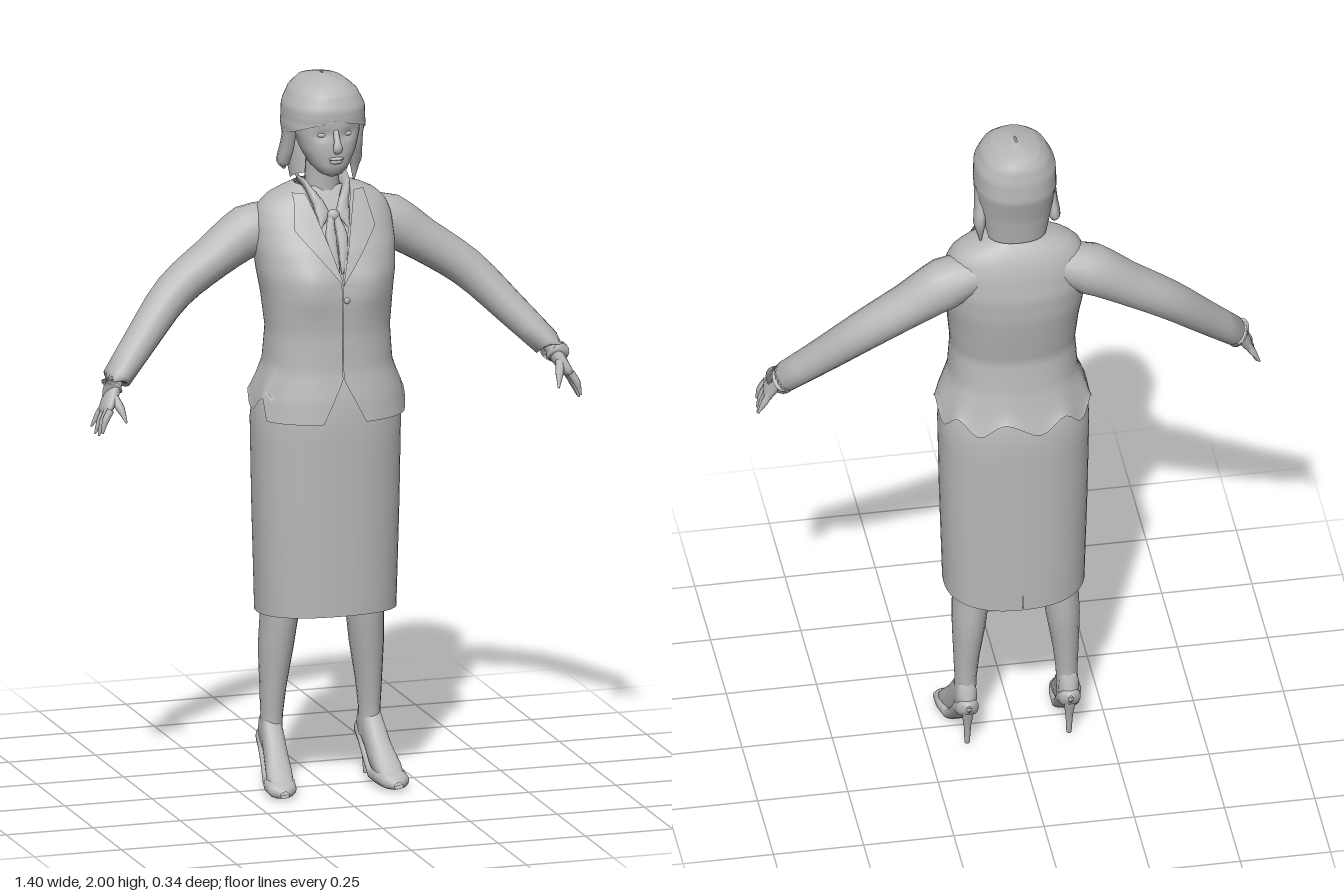
import * as THREE from 'three';

const grey = new THREE.MeshStandardMaterial({ color: 0xb8b8b8, side: THREE.DoubleSide });
grey.name = 'plain grey';

// Smooth surface from f(u, v) -> [x, y, z]; u wraps around when closed
function surface(name, nu, nv, closed, f) {
  const pos = [], idx = [], cols = closed ? nu : nu + 1;
  for (let j = 0; j <= nv; j++)
    for (let i = 0; i < cols; i++) pos.push(...f(i / nu, j / nv));
  for (let j = 0; j < nv; j++)
    for (let i = 0; i < nu; i++) {
      const a = j * cols + i, b = j * cols + (i + 1) % cols;
      idx.push(a, b, b + cols, a, b + cols, a + cols);
    }
  const g = new THREE.BufferGeometry();
  g.setAttribute('position', new THREE.Float32BufferAttribute(pos, 3));
  g.setIndex(idx);
  g.computeVertexNormals();
  const m = new THREE.Mesh(g, grey);
  m.name = name;
  return m;
}

// Linear interpolation in a table whose first column is the key
function at(table, k) {
  let i = 0;
  while (i < table.length - 2 && k > table[i + 1][0]) i++;
  const a = table[i], b = table[i + 1];
  const t = THREE.MathUtils.clamp((k - a[0]) / (b[0] - a[0]), 0, 1);
  return a.map((v, n) => v + (b[n] - v) * t);
}

// Point on a body shell of rows [y, halfWidth, zFront, zBack]; angle 0 is the front
const P = 0.86;
const pw = (v) => Math.sign(v) * Math.pow(Math.abs(v), P);
function shell(table, y, a, off = 0) {
  const [, rx, zf, zb] = at(table, y);
  return [(rx + off) * pw(Math.sin(a)), y, (zf + zb) / 2 + ((zf - zb) / 2 + off) * pw(Math.cos(a))];
}
const angleOf = (x, rx) => Math.asin(Math.pow(Math.min(x / rx, 1), 1 / P));

// Tapering limb through points [x, y, z, radiusA, radiusB]
function limb(name, pts, sides = 14) {
  const curve = new THREE.CatmullRomCurve3(pts.map((p) => new THREE.Vector3(p[0], p[1], p[2])));
  const n = pts.length - 1, keys = pts.map((p, i) => [i / n, p[3], p[4] ?? p[3]]);
  return surface(name, sides, n * 3, true, (u, v) => {
    const c = curve.getPoint(v), t = curve.getTangent(v);
    const a = new THREE.Vector3().crossVectors(t, new THREE.Vector3(0, 0, 1)).normalize();
    const b = new THREE.Vector3().crossVectors(t, a);
    const [, ra, rb] = at(keys, v), w = u * Math.PI * 2;
    return c.addScaledVector(a, ra * Math.cos(w)).addScaledVector(b, rb * Math.sin(w)).toArray();
  });
}

function blob(name, x, y, z, sx, sy, sz) {
  const m = new THREE.Mesh(new THREE.SphereGeometry(1, 14, 10), grey);
  m.name = name;
  m.position.set(x, y, z);
  m.scale.set(sx, sy, sz);
  return m;
}

const jacketRows = [
  [1.06, 0.212, 0.17, -0.168], [1.12, 0.2, 0.163, -0.153], [1.2, 0.175, 0.148, -0.137],
  [1.3, 0.168, 0.142, -0.126], [1.4, 0.178, 0.144, -0.145], [1.46, 0.188, 0.136, -0.155],
  [1.53, 0.194, 0.108, -0.158], [1.6, 0.19, 0.068, -0.147], [1.64, 0.175, 0.045, -0.135],
  [1.67, 0.14, 0.025, -0.12], [1.695, 0.075, 0.01, -0.1]];
const skirtRows = [
  [0.5, 0.194, 0.147, -0.165], [0.8, 0.203, 0.148, -0.165], [1.06, 0.208, 0.148, -0.165],
  [1.13, 0.195, 0.14, -0.15], [1.22, 0.16, 0.12, -0.12]];
const faceRows = [
  [1.728, 0.008, 0.055, 0.03], [1.738, 0.032, 0.075, 0], [1.76, 0.053, 0.086, -0.04],
  [1.8, 0.074, 0.09, -0.07], [1.85, 0.09, 0.089, -0.1], [1.9, 0.094, 0.088, -0.11],
  [1.96, 0.07, 0.06, -0.1]];
const hairRows = [
  [1.7, 0.085, 0.03, -0.117], [1.78, 0.1, 0.06, -0.132], [1.86, 0.113, 0.092, -0.155],
  [1.92, 0.11, 0.092, -0.153], [1.96, 0.09, 0.075, -0.145], [1.985, 0.06, 0.045, -0.13],
  [2.0, 0.003, -0.03, -0.06]];

// Half width of the neckline V and of the cutaway below the waist
const neckline = (y) => Math.max(0, (y - 1.45) / 0.245 * 0.066);
const opening = (y) => Math.max(0.001, neckline(y), (1.18 - y) * 0.5);

function buildClothes(body) {
  body.add(surface('skirt', 56, 16, false, (u, v) => {
    const y = 0.5 + v * 0.72, slit = Math.max(0, 0.56 - y) * 0.06;
    const a = Math.PI + slit + u * (Math.PI * 2 - slit * 2);
    const p = shell(skirtRows, y, a);
    p[1] += 0.01 * Math.cos(a) * (1 - v) ** 12;
    return p;
  }));
  body.add(surface('jacket', 64, 42, false, (u, v) => {
    const y = 1.06 + v * 0.635, gap = angleOf(opening(y), at(jacketRows, y)[1]);
    const a = gap + u * (Math.PI * 2 - gap * 2);
    const p = shell(jacketRows, y, a, 0.003);
    // bust
    const d = ((Math.abs(p[0]) - 0.085) / 0.06) ** 2 + ((y - 1.44) / 0.08) ** 2;
    if (Math.cos(a) > 0) p[2] += 0.014 * Math.exp(-d);
    // uneven hem around the sides and back
    if (Math.cos(a) < 0.4) p[1] += (0.04 + 0.022 * Math.sin(a * 9)) * (1 - v) ** 8;
    return p;
  }));
  body.add(surface('shirt', 32, 16, true, (u, v) =>
    shell(jacketRows, 1.4 + v * 0.29, u * Math.PI * 2, -0.014)));
  for (const s of [1, -1]) {
    body.add(surface('lapel', 8, 16, false, (u, v) => {
      const y = 1.44 + v * 0.24, rx = at(jacketRows, y)[1], x0 = neckline(y);
      const w = v < 0.62 ? v / 0.62 * 0.07 : 0.07 - (v - 0.62) * 0.11;
      const p = shell(jacketRows, y, angleOf(x0 + u * w, rx), 0.016);
      return [s * p[0], p[1], p[2]];
    }));
    // shirt collar and scarf
    body.add(limb('shirtCollar', [[s * 0.06, 1.7, -0.06, 0.006, 0.02], [s * 0.055, 1.69, 0, 0.008, 0.022],
      [s * 0.03, 1.63, 0.055, 0.02, 0.008], [s * 0.04, 1.59, 0.075, 0.004]], 8));
    body.add(limb('scarfTail', [[s * 0.008, 1.615, 0.065, 0.01], [s * 0.016, 1.57, 0.09, 0.016, 0.009],
      [s * 0.012, 1.51, 0.115, 0.012, 0.008], [s * 0.004, 1.47, 0.13, 0.002]], 8));
  }
  body.add(blob('scarfKnot', 0, 1.62, 0.062, 0.018, 0.018, 0.014));
  body.add(blob('jacketButton', 0.012, 1.4, 0.148, 0.009, 0.009, 0.005));
}

function buildHead(body) {
  const head = new THREE.Group();
  head.name = 'head';
  body.add(head);
  head.add(limb('neck', [[0, 1.62, -0.045, 0.058, 0.052], [0, 1.7, -0.04, 0.048], [0, 1.8, -0.03, 0.046]]));
  head.add(surface('face', 32, 24, true, (u, v) => {
    const a = u * Math.PI * 2, p = shell(faceRows, 1.728 + v * 0.232, a);
    // eye sockets
    const d = ((Math.abs(p[0]) - 0.036) / 0.02) ** 2 + ((p[1] - 1.852) / 0.014) ** 2;
    if (Math.cos(a) > 0) p[2] -= 0.01 * Math.exp(-d);
    return p;
  }));
  head.add(limb('nose', [[0, 1.865, 0.084, 0.007], [0, 1.835, 0.098, 0.01], [0, 1.815, 0.104, 0.015, 0.011],
    [0, 1.803, 0.088, 0.005]], 10));
  head.add(blob('upperLip', 0, 1.786, 0.089, 0.022, 0.005, 0.008));
  head.add(blob('lowerLip', 0, 1.777, 0.087, 0.018, 0.006, 0.008));
  // hair cap with a fringe, open around the face
  const gaps = [[1.7, 1.95], [1.8, 1.7], [1.85, 1.3], [1.875, 0.6], [1.89, 0]];
  head.add(surface('hair', 48, 36, false, (u, v) => {
    const y = 1.7 + v * 0.3, gap = at(gaps, y)[1];
    return shell(hairRows, y, gap + u * (Math.PI * 2 - gap * 2));
  }));
  for (const s of [1, -1]) {
    const low = s > 0 ? 1.685 : 1.73;
    head.add(blob('eye', s * 0.036, 1.852, 0.072, 0.013, 0.007, 0.008));
    head.add(limb('hairLock', [[s * 0.096, 1.87, -0.02, 0.016, 0.035], [s * 0.098, 1.8, -0.045, 0.017, 0.035],
      [s * 0.103, 1.75, -0.065, 0.018, 0.03], [s * 0.1, low, -0.065, 0.003]], 8));
  }
}

function buildArm(s) {
  const arm = new THREE.Group();
  arm.name = s > 0 ? 'leftArm' : 'rightArm';
  const add = (name, pts, n) => arm.add(limb(name, pts.map(([x, ...r]) => [s * x, ...r]), n));
  add('sleeve', [[0.1, 1.595, -0.07, 0.05, 0.06], [0.2, 1.56, -0.075, 0.073, 0.072],
    [0.3, 1.496, -0.07, 0.06, 0.066], [0.42, 1.412, -0.053, 0.054, 0.058],
    [0.53, 1.3, 0, 0.046, 0.05], [0.636, 1.188, 0.06, 0.036, 0.044], [0.628, 1.196, 0.056, 0.022, 0.026]], 18);
  add('palm', [[0.62, 1.21, 0.05, 0.02, 0.026], [0.642, 1.17, 0.075, 0.02, 0.03],
    [0.662, 1.135, 0.092, 0.015, 0.038], [0.67, 1.118, 0.098, 0.004, 0.025]], 10);
  for (let i = 0; i < 4; i++) {
    const z = 0.068 + i * 0.02, tip = 0.062 + i * 0.025, drop = [0.015, 0, 0, 0.012][i];
    add('finger', [[0.66, 1.14, z, 0.011], [0.677, 1.105 + drop / 2, (z + tip) / 2, 0.01],
      [0.695 - i * 0.003, 1.066 + drop, tip, 0.003]], 8);
  }
  add('thumb', [[0.642, 1.17, 0.09, 0.014], [0.63, 1.14, 0.122, 0.012], [0.62, 1.105, 0.146, 0.003]], 8);
  return arm;
}

function buildLeg(s) {
  const leg = new THREE.Group();
  leg.name = s > 0 ? 'leftLeg' : 'rightLeg';
  leg.add(limb('shin', [[s * 0.118, 0.66, -0.035, 0.06, 0.075], [s * 0.122, 0.5, -0.038, 0.052, 0.07],
    [s * 0.13, 0.39, -0.047, 0.047, 0.062], [s * 0.137, 0.28, -0.05, 0.036, 0.047],
    [s * 0.14, 0.2, -0.052, 0.03, 0.038], [s * 0.142, 0.12, -0.055, 0.03, 0.04]], 18));
  // Foot and shoe: rows [z, bottom, top, halfWidth, centreX]
  const slipper = (name, rows) => leg.add(surface(name, 16, 28, true, (u, v) => {
    const z0 = rows[0][0], z1 = rows[rows.length - 1][0];
    const [z, lo, hi, w, x] = at(rows, z0 + v * (z1 - z0)), a = u * Math.PI * 2;
    return [s * (x + w * pw(Math.cos(a))), (lo + hi) / 2 + (hi - lo) / 2 * pw(Math.sin(a)), z];
  }));
  slipper('foot', [[-0.105, 0.12, 0.15, 0.012, 0.141], [-0.085, 0.1, 0.21, 0.028, 0.141],
    [-0.03, 0.07, 0.2, 0.031, 0.144], [0.02, 0.025, 0.135, 0.034, 0.149],
    [0.07, 0.012, 0.082, 0.038, 0.156], [0.115, 0.01, 0.04, 0.03, 0.16]]);
  slipper('shoe', [[-0.116, 0.125, 0.145, 0.006, 0.141], [-0.1, 0.1, 0.158, 0.03, 0.141],
    [-0.06, 0.082, 0.135, 0.034, 0.143], [-0.02, 0.04, 0.085, 0.035, 0.146],
    [0.02, 0.006, 0.05, 0.039, 0.15], [0.07, 0.002, 0.058, 0.045, 0.157],
    [0.115, 0.002, 0.046, 0.04, 0.162], [0.138, 0.008, 0.026, 0.012, 0.163]]);
  leg.add(limb('heel', [[s * 0.141, 0.12, -0.098, 0.018], [s * 0.141, 0.06, -0.09, 0.01],
    [s * 0.141, 0.002, -0.085, 0.007], [s * 0.141, 0, -0.085, 0]], 10));
  return leg;
}

export function createModel() {
  const body = new THREE.Group();
  body.name = 'standingWoman';
  buildClothes(body);
  buildHead(body);
  for (const s of [1, -1]) body.add(buildArm(s), buildLeg(s));
  return body;
}
